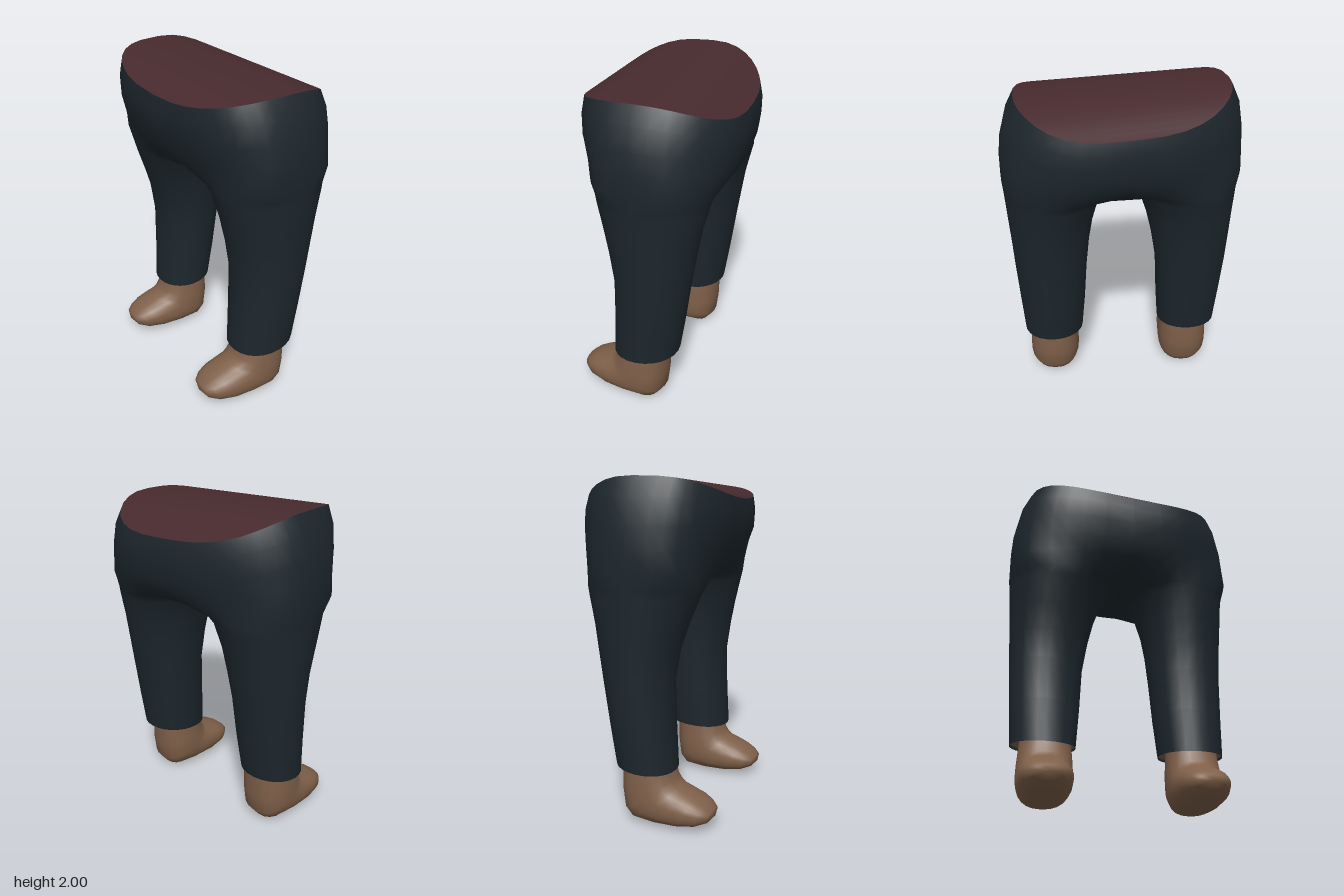
import * as THREE from 'three';
import { mergeVertices } from 'three/addons/utils/BufferGeometryUtils.js';

const OUT = 18, IN = 10, RING = OUT + IN; // outer and inner columns of a leg ring
const pw = (v, p) => Math.sign(v) * Math.abs(v) ** p;

// leg rings: y, inner x, outer x, back z, front z
const LEG = [
  [0.35, 0.255, 0.635, -0.18, 0.23], [0.6, 0.235, 0.65, -0.215, 0.215], [0.86, 0.22, 0.665, -0.25, 0.207],
  [1.05, 0.195, 0.675, -0.28, 0.235], [1.2, 0.165, 0.685, -0.305, 0.265], [1.36, 0.115, 0.695, -0.345, 0.305],
  [1.405, 0.06, 0.699, -0.36, 0.32],
];
// hip rings: y, outer x, back z, front z, share of the waist curve, back and front roundness
const HIP = [
  [1.5, 0.705, -0.42, 0.365, 0, 0.65, 0.55], [1.6, 0.706, -0.452, 0.4, 0.2, 0.85, 0.72],
  [1.7, 0.695, -0.465, 0.44, 0.45, 0.92, 0.77], [1.8, 0.663, -0.465, 0.447, 0.8, 0.9, 0.72],
  [1.88, 0.612, -0.45, 0.437, 1, 0.88, 0.66],
];

function geometryFrom(pos, idx) {
  const g = new THREE.BufferGeometry();
  g.setAttribute('position', new THREE.Float32BufferAttribute(pos, 3));
  g.setIndex(idx);
  const merged = mergeVertices(g, 1e-4);
  merged.computeVertexNormals();
  return merged;
}

// full ring of one trouser leg; the right leg is a little slimmer in front, the cuff slopes
function legRing([y, xIn, xo, zb, zFront], side) {
  const a = 2.3, ring = [];
  const xi = xIn + side * 0.03 * Math.max(0, y - 0.86);
  const zf = zFront - (side < 0 ? Math.min(0.05, 0.12 * (1.45 - y)) : 0);
  for (let j = 0; j < RING; j++) {
    const t = j <= OUT ? a - 2 * a * j / OUT : -a - (2 * Math.PI - 2 * a) * (j - OUT) / IN;
    const x = (xi + xo) / 2 + (xo - xi) / 2 * pw(Math.cos(t), 0.96);
    const z = (zb + zf) / 2 + (zf - zb) / 2 * pw(Math.sin(t), 0.96);
    ring.push([side * x, y < 0.4 ? y + 0.005 - 0.08 * z : y, z]);
  }
  return ring;
}

// half ring of the hips, front centre to back centre
function hipRing([y, xo, zb, zf, f, roundBack, roundFront], side) {
  const ring = [];
  for (let j = 0; j <= OUT; j++) {
    const t = Math.PI / 2 - Math.PI * j / OUT, s = Math.sin(t);
    const c = j % OUT ? Math.cos(t) : 0;
    const x = side * xo * pw(c, 0.8 - 0.06 * f);
    const z = s > 0 ? zf * pw(s, roundFront) : -zb * pw(s, roundBack) - 0.06 * x * s * s;
    const rim = s > 0 ? 0.1 * c ** 1.6 : 0.1 * c ** 2.6 - 0.045 * s * s;
    ring.push([x - 0.012 * f, y + f * (rim - 0.04 * x), z]);
  }
  return ring;
}

function trousers() {
  const pos = [], idx = [];
  for (const side of [1, -1]) {
    const rows = LEG.map(r => legRing(r, side));
    const hips = HIP.map(r => hipRing(r, side));
    // the lowest hip ring is closed by the crotch curve on the centre plane
    const first = hips[0].slice();
    for (let k = 1; k < IN; k++) {
      const u = k / IN;
      first.push([0, 1.5 - 0.095 * Math.sin(Math.PI * u) ** 0.8, -0.025 - 0.38 * Math.cos(Math.PI * u)]);
    }
    rows.push(first, ...hips.slice(1));
    const starts = rows.map(r => {
      const s = pos.length / 3;
      r.forEach(p => pos.push(...p));
      return s;
    });
    for (let i = 0; i < rows.length - 1; i++) {
      const n = i < LEG.length ? RING : OUT;
      for (let j = 0; j < n; j++) {
        const k = n === RING ? (j + 1) % RING : j + 1;
        const a = starts[i] + j, b = starts[i] + k, c = starts[i + 1] + k, d = starts[i + 1] + j;
        if (side > 0) idx.push(a, b, c, a, c, d);
        else idx.push(a, c, b, a, d, c);
      }
    }
  }
  return geometryFrom(pos, idx);
}

// straight strips from side to side across the waist opening
function waistCap() {
  const L = hipRing(HIP.at(-1), -1), R = hipRing(HIP.at(-1), 1), pos = [], idx = [];
  L.forEach((p, j) => pos.push(...p, ...R[j]));
  for (let j = 0; j < OUT; j++) {
    const l = 2 * j, r = l + 1;
    idx.push(l, r, r + 2, l, r + 2, l + 2);
  }
  return geometryFrom(pos, idx);
}

// flat lining just inside the cuff
function cuffLining(side) {
  const ring = legRing([0.365, 0.258, 0.632, -0.177, 0.227], side);
  const pos = [side * 0.445, 0.4, 0.02], idx = [];
  ring.forEach(p => pos.push(...p));
  for (let j = 0; j < RING; j++) {
    const a = 1 + j, b = 1 + (j + 1) % RING;
    idx.push(...(side > 0 ? [0, b, a] : [0, a, b]));
  }
  return geometryFrom(pos, idx);
}

// shoe sections: instep y, z; heel or sole y, z; half width
const SHOE = [
  [0.43, 0.165, 0.43, -0.12, 0.148], [0.34, 0.18, 0.34, -0.122, 0.152], [0.28, 0.2, 0.19, -0.12, 0.16],
  [0.25, 0.225, 0.07, -0.105, 0.162], [0.238, 0.25, 0.015, -0.06, 0.156], [0.22, 0.3, 0.003, 0.08, 0.153],
  [0.195, 0.36, 0.01, 0.23, 0.146], [0.165, 0.41, 0.03, 0.35, 0.122], [0.135, 0.445, 0.06, 0.42, 0.08],
  [0.1, 0.455, 0.1, 0.455, 0],
];

function shoe() {
  const N = 24, pos = [], idx = [];
  SHOE.forEach(([y1, z1, y2, z2, w], i) => {
    for (let j = 0; j < N; j++) {
      const t = 2 * Math.PI * j / N, m = (1 + pw(Math.cos(t), 0.85)) / 2;
      pos.push(w * pw(Math.sin(t), 0.85), y2 + (y1 - y2) * m, z2 + (z1 - z2) * m);
      if (!i) continue;
      const k = (j + 1) % N, a = (i - 1) * N + j, b = (i - 1) * N + k;
      idx.push(a, a + N, b, b, a + N, b + N);
    }
  });
  return geometryFrom(pos, idx);
}

export function createModel() {
  const group = new THREE.Group();
  const mat = color => new THREE.MeshStandardMaterial({ color, side: THREE.DoubleSide });
  const cloth = mat(0x1d272d), leather = mat(0x7f6049), lining = mat(0x472a2e);
  const add = (name, geo, material) => {
    const m = new THREE.Mesh(geo, material);
    m.name = name;
    group.add(m);
    return m;
  };
  add('trousers', trousers(), cloth);
  add('waistCap', waistCap(), lining);
  const shoeGeo = shoe();
  for (const [side, label] of [[1, 'left'], [-1, 'right']]) {
    add(label + 'CuffLining', cuffLining(side), leather);
    const s = add(label + 'Shoe', shoeGeo, leather);
    s.position.set(side > 0 ? 0.45 : -0.428, 0.005, side > 0 ? 0.01 : -0.025);
    s.rotation.y = side > 0 ? -0.11 : -0.1;
  }
  return group;
}
